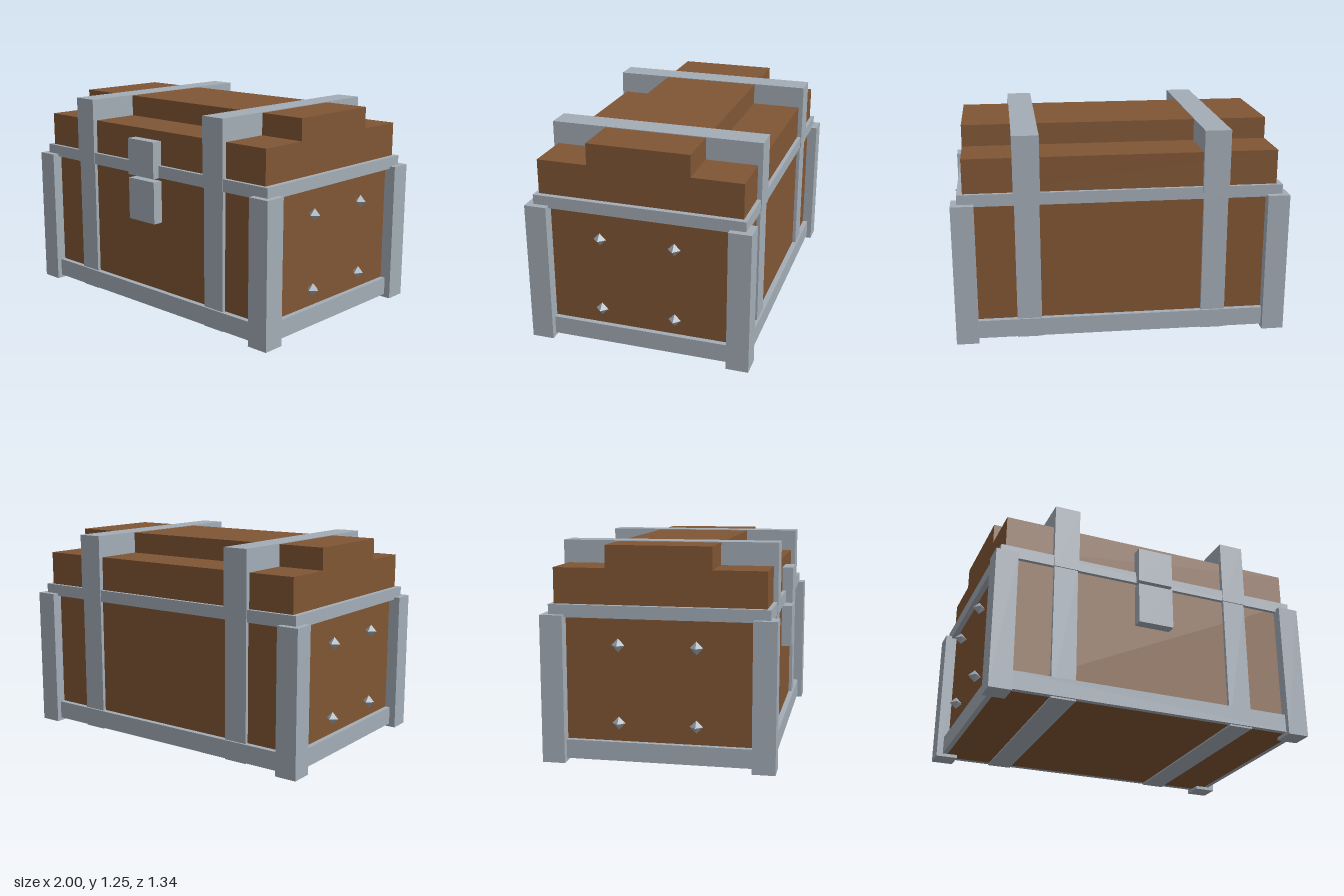
import * as THREE from 'three';

export function createModel() {
  const wood = new THREE.MeshStandardMaterial({ color: 0x805634 });
  wood.name = 'brown wood';
  const iron = new THREE.MeshStandardMaterial({ color: 0xa3acb6 });
  iron.name = 'grey iron';
  const model = new THREE.Group();
  model.name = 'chest';

  const add = (name, geometry, material) => {
    const mesh = new THREE.Mesh(geometry, material);
    mesh.name = name;
    model.add(mesh);
    return mesh;
  };

  // Box given by its lower and upper corners
  const box = (name, material, [x0, y0, z0], [x1, y1, z1]) => {
    const mesh = add(name, new THREE.BoxGeometry(x1 - x0, y1 - y0, z1 - z0), material);
    mesh.position.set((x0 + x1) / 2, (y0 + y1) / 2, (z0 + z1) / 2);
    return mesh;
  };

  // Rectangular band that wraps around the body
  const W = 0.922, D = 0.605;
  const rectangle = (path, x, z) => {
    path.moveTo(-x, -z);
    path.lineTo(x, -z);
    path.lineTo(x, z);
    path.lineTo(-x, z);
    path.closePath();
    return path;
  };
  const band = (name, x, z, y0, y1) => {
    const shape = rectangle(new THREE.Shape(), x, z);
    shape.holes.push(rectangle(new THREE.Path(), W, D));
    const geometry = new THREE.ExtrudeGeometry(shape, { depth: y1 - y0, bevelEnabled: false });
    geometry.rotateX(-Math.PI / 2);
    add(name, geometry, iron).position.y = y0;
  };

  // Wooden body and stepped lid
  box('body', wood, [-W, 0.02, -D], [W, 0.9, D]);
  box('lidLower', wood, [-W, 0.9, -D], [W, 1.115, D]);
  box('lidUpper', wood, [-W, 1.115, -0.303], [W, 1.244, 0.303]);

  // Iron bands around the base and under the lid
  band('baseBand', 0.953, 0.638, 0.02, 0.13);
  band('rimBand', 0.955, 0.628, 0.838, 0.91);

  for (const side of [-1, 1]) {
    // Straps over body and lid
    const x = side * 0.556;
    box('lowerStrap', iron, [x - 0.073, 0.01, -0.626], [x + 0.073, 0.85, 0.626]);
    box('lidStrap', iron, [x - 0.078, 0.838, -0.633], [x + 0.078, 1.248, 0.633]);

    for (const end of [-1, 1]) {
      // Corner posts
      const post = add('cornerPost', new THREE.BoxGeometry(0.132, 0.853, 0.132), iron);
      post.position.set(side * 0.926, 0.4265, end * 0.602);

      // Pointed studs on the side panels
      for (const y of [0.245, 0.69]) {
        const stud = add('stud', new THREE.OctahedronGeometry(0.038), iron);
        stud.position.set(side * 0.962, y, end * 0.222);
      }
    }
  }

  // Two-part latch on the front
  box('latchUpper', iron, [-0.11, 0.835, 0.59], [0.11, 1.056, 0.67]);
  box('latchLower', iron, [-0.11, 0.56, 0.59], [0.11, 0.815, 0.668]);

  return model;
}
